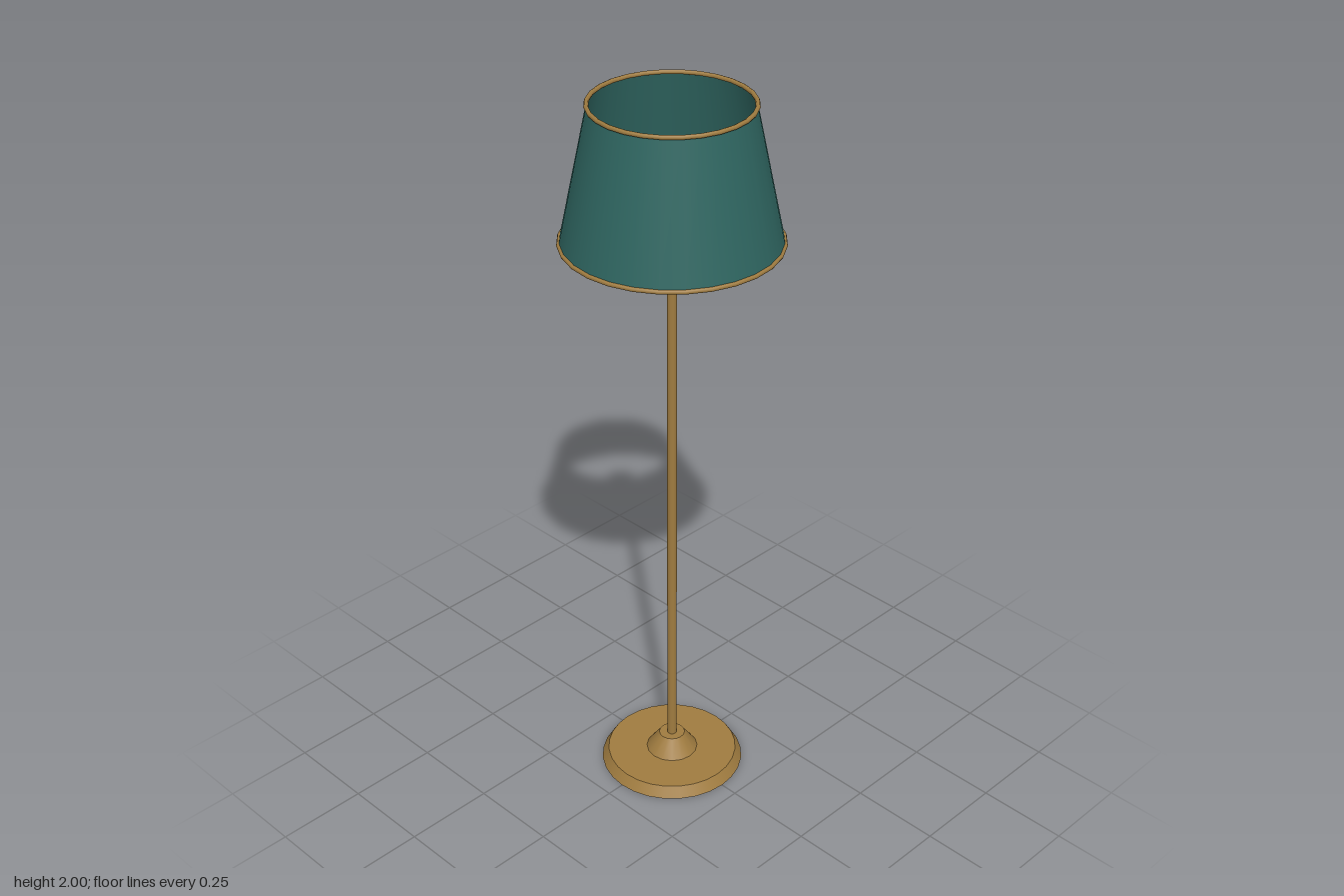
import * as THREE from 'three';

export function createModel() {
  const lamp = new THREE.Group();
  lamp.name = 'floorLamp';

  const material = (name, color, side = THREE.FrontSide) => {
    const m = new THREE.MeshStandardMaterial({ color, side });
    m.name = name;
    return m;
  };
  const brass = material('brass', 0xa07c40);
  const fabric = material('greenFabric', 0x2f6661, THREE.DoubleSide);
  const glass = material('creamGlass', 0xf0e2c6);

  const add = (name, geometry, mat, y) => {
    const mesh = new THREE.Mesh(geometry, mat);
    mesh.name = name;
    mesh.position.y = y;
    lamp.add(mesh);
    return mesh;
  };
  // Round part standing between two heights
  const round = (name, mat, rTop, rBottom, y0, y1, sides, open = false) =>
    add(name, new THREE.CylinderGeometry(rTop, rBottom, y1 - y0, sides, 1, open), mat, (y0 + y1) / 2);

  // Foot and pole
  round('base', brass, 0.182, 0.2, 0, 0.03, 28);
  round('baseCollar', brass, 0.036, 0.072, 0.03, 0.08, 16);
  round('pole', brass, 0.0135, 0.0135, 0.07, 1.67, 12);

  // Socket and bulb
  round('socket', brass, 0.034, 0.034, 1.655, 1.705, 16);
  add('bulb', new THREE.SphereGeometry(0.053, 16, 12), glass, 1.74);

  // Open shade with a trim ring on each rim
  const rims = { bottom: [0.28, 1.636], top: [0.205, 1.994] };
  round('shade', fabric, rims.top[0], rims.bottom[0], rims.bottom[1], rims.top[1], 28, true);
  for (const [name, [radius, y]] of Object.entries(rims)) {
    const ring = new THREE.TorusGeometry(radius, 0.006, 8, 28).rotateX(Math.PI / 2);
    add(name + 'Trim', ring, brass, y);
  }

  return lamp;
}
